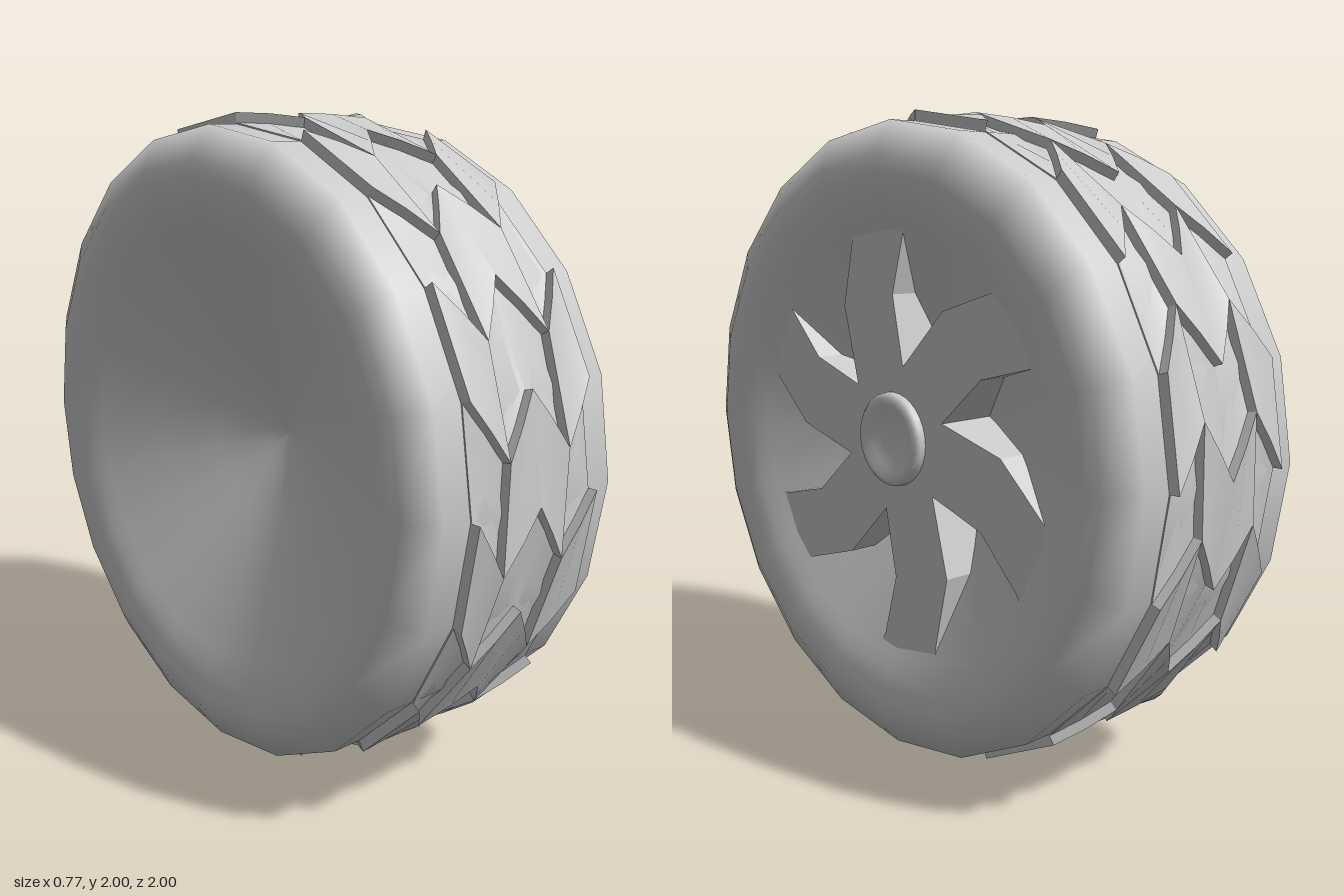
import * as THREE from 'three';

const RAD = Math.PI / 180;
const material = new THREE.MeshStandardMaterial({ color: 0xcccccc });

function addMesh(parent, name, geometry) {
  const mesh = new THREE.Mesh(geometry, material);
  mesh.name = name;
  parent.add(mesh);
  return mesh;
}

// Lathe around the x axle from [x, radius] points, listed from -x to +x
function axleLathe(points, sides) {
  const profile = points.map(([x, r]) => new THREE.Vector2(r, x));
  return new THREE.LatheGeometry(profile, sides).rotateZ(-Math.PI / 2);
}

// Half profile of the tyre at +x: shallow cone, rounded lip, shoulder, tread edge
const halfProfile = [[0.04, 0], [0.065, 0.09], [0.14, 0.25], [0.235, 0.45], [0.322, 0.635],
  [0.34, 0.675], [0.362, 0.72], [0.38, 0.775], [0.385, 0.82], [0.385, 0.87], [0.33, 0.967]];

// Slanted tread block between two x positions; its ends step back by a given
// angle at the notch side, and its top lies at the given radius
function treadBlock(x0, x1, back0, back1, radius) {
  const geometry = new THREE.BoxGeometry(1, 1, 1, 2, 1, 1);
  const pos = geometry.attributes.position;
  for (let i = 0; i < pos.count; i++) {
    const t = pos.getX(i) + 0.5;
    const angle = (18 * (pos.getY(i) - 0.5) - THREE.MathUtils.lerp(back0, back1, t)) * RAD;
    const r = pos.getZ(i) > 0 ? radius : 0.92;
    pos.setXYZ(i, THREE.MathUtils.lerp(x0, x1, t), r * Math.sin(angle), r * Math.cos(angle));
  }
  geometry.computeVertexNormals();
  return geometry;
}

// Six swept spokes as one star outline; each point is [angle, radius]
function spokeStar() {
  const spoke = [[41, 0.23], [59, 0.46], [73, 0.64], [75, 0.69], [85, 0.69],
    [97, 0.69], [95, 0.64], [90, 0.44]];
  const points = [];
  for (let k = 0; k < 6; k++) {
    for (const [angle, r] of spoke) {
      const a = (180 - angle - 60 * k) * RAD;
      points.push(new THREE.Vector2(r * Math.cos(a), r * Math.sin(a)));
    }
  }
  return new THREE.ExtrudeGeometry(new THREE.Shape(points), { depth: 0.245, bevelEnabled: false })
    .rotateY(Math.PI / 2);
}

export function createModel() {
  const model = new THREE.Group();
  model.name = 'wheel';
  const wheel = new THREE.Group();
  wheel.name = 'wheelAssembly';
  wheel.position.y = 1;
  model.add(wheel);

  // Tyre body with a dish on each side
  const sides = 20;
  const rightHalf = halfProfile.map(([x, r]) => [-x, r]);
  addMesh(wheel, 'tyre', axleLathe([...rightHalf, ...[...halfProfile].reverse()], sides));

  // Zigzag tread: outer and inner columns are raised in alternate rows
  const tread = new THREE.Group();
  tread.name = 'tread';
  wheel.add(tread);
  const columns = [-0.235, -0.118, 0, 0.118, 0.235];
  for (let c = 0; c < 4; c++) {
    const outer = c === 0 || c === 3;
    const [back0, back1] = c % 2 ? [10, 0] : [0, 10];
    const blocks = [1, 0.971].map((r) => treadBlock(columns[c], columns[c + 1], back0, back1, r));
    for (let k = 0; k < sides; k++) {
      const raised = (k % 2 === 0) === outer;
      addMesh(tread, raised ? 'raisedBlock' : 'lowBlock', blocks[raised ? 0 : 1])
        .rotation.x = -18 * k * RAD;
    }
  }

  // Spokes and hub cap on the left side
  const rim = new THREE.Group();
  rim.name = 'rim';
  rim.position.y = 0.02;
  wheel.add(rim);
  addMesh(rim, 'spokes', spokeStar()).position.x = 0.085;
  addMesh(rim, 'hubCap', axleLathe([[0.31, 0.138], [0.325, 0.145], [0.348, 0.143],
    [0.36, 0.13], [0.36, 0.112], [0.348, 0.085], [0.338, 0.045], [0.335, 0]], 32));

  return model;
}
